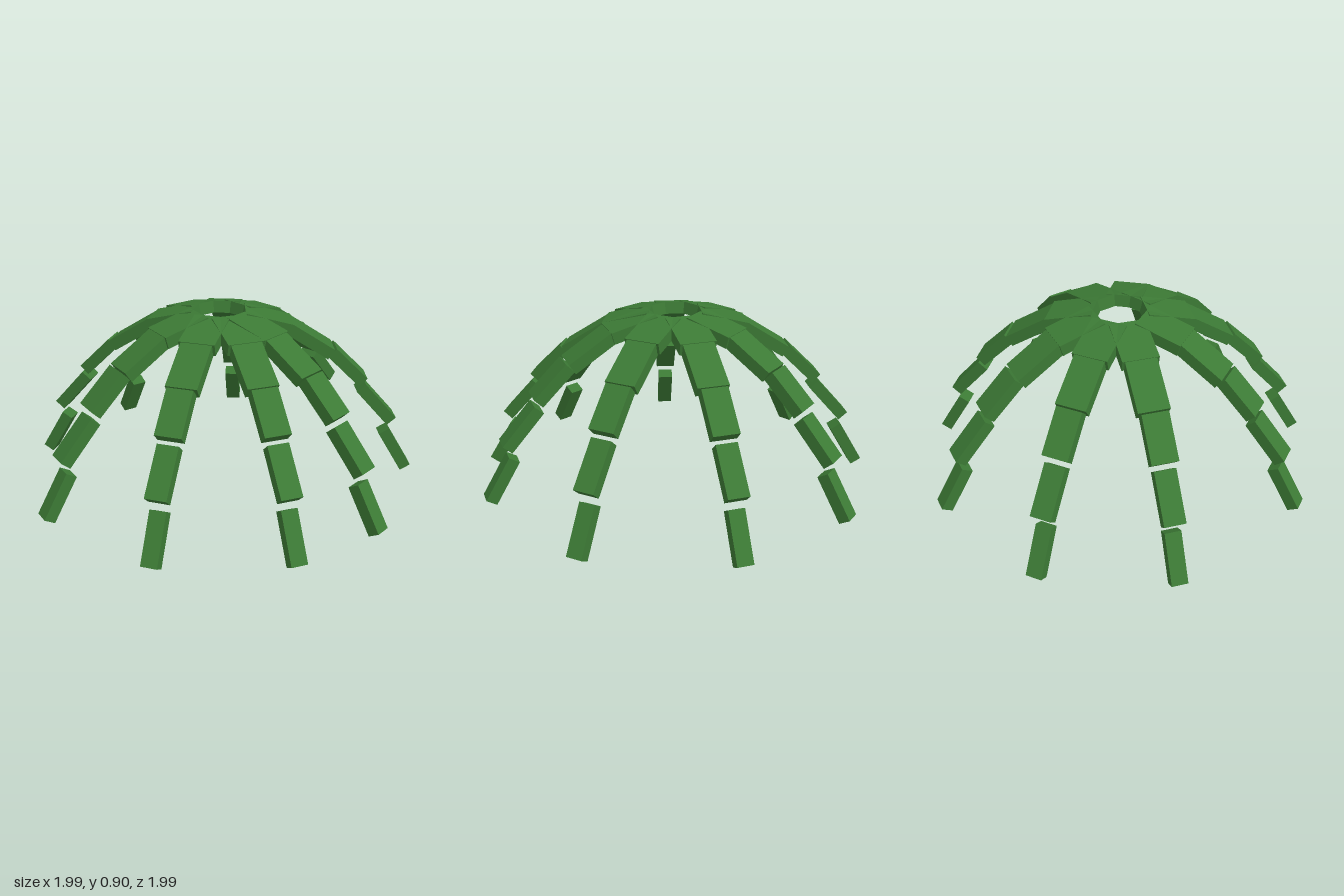
import * as THREE from 'three';

const leaf = new THREE.MeshStandardMaterial({ color: 0x3c7a35 });
leaf.name = 'leaf green';

// Upper edge of each segment, from inner to outer end: r0, y0, r1, y1, width
const SEGMENTS = [
  [0.125, 0.905, 0.36, 0.845, 0.18],
  [0.355, 0.845, 0.573, 0.706, 0.155],
  [0.585, 0.706, 0.75, 0.543, 0.13],
  [0.748, 0.503, 0.915, 0.315, 0.105],
  [0.887, 0.246, 1.015, 0.031, 0.08],
];
const THICKNESS = 0.06;

// Slightly uneven directions of the nine fronds, in degrees from +x towards +z
const ANGLES = [8.3, 36.8, 74.9, 114.8, 162.7, 201.5, 241.7, 281.1, 325.1];

// One drooping frond along +x, made of tapering slabs
function makeFrond() {
  const frond = new THREE.Group();
  SEGMENTS.forEach(([r0, y0, r1, y1, width], i) => {
    const slope = Math.atan2(y1 - y0, r1 - r0);
    const length = Math.hypot(r1 - r0, y1 - y0);
    const slab = new THREE.Mesh(new THREE.BoxGeometry(length, THICKNESS, width), leaf);
    slab.name = `frondSegment${i + 1}`;
    slab.rotation.z = slope;
    // Drop the centre half a thickness below the upper edge
    slab.position.set(
      (r0 + r1) / 2 + Math.sin(slope) * THICKNESS / 2,
      (y0 + y1) / 2 - Math.cos(slope) * THICKNESS / 2,
      0
    );
    frond.add(slab);
  });
  return frond;
}

export function createModel() {
  const model = new THREE.Group();
  model.name = 'palmCrown';
  ANGLES.forEach((deg, i) => {
    const frond = makeFrond();
    frond.name = `frond${i + 1}`;
    frond.position.x = -0.015;
    frond.rotation.y = -THREE.MathUtils.degToRad(deg);
    model.add(frond);
  });
  return model;
}
